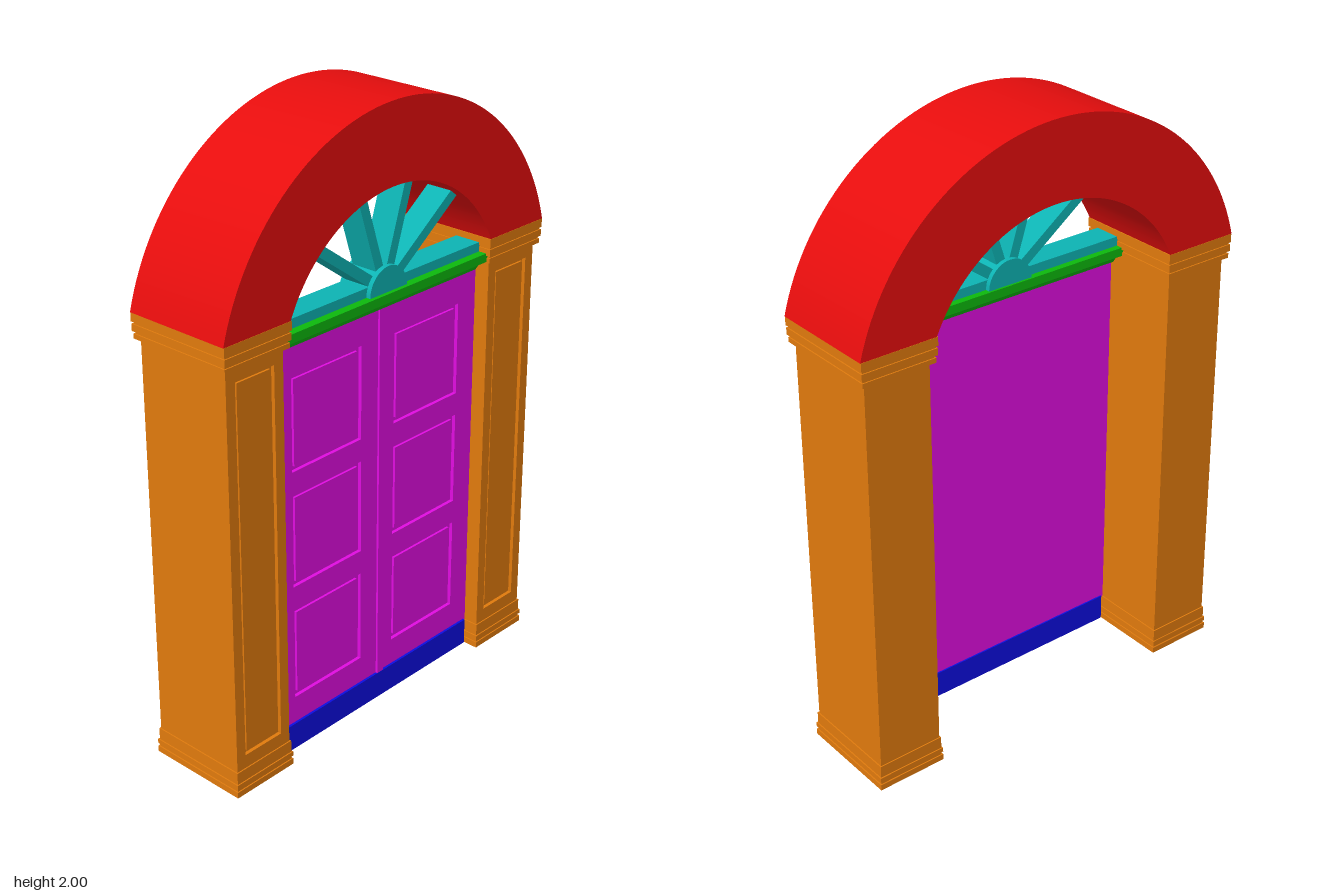
import * as THREE from 'three';
import { toCreasedNormals } from 'three/addons/utils/BufferGeometryUtils.js';

const mat = (color) => new THREE.MeshStandardMaterial({ color });
const RED = mat(0xe60d0d), ORANGE = mat(0xe07a0d), MAGENTA = mat(0xe00de0);
const BLUE = mat(0x0d0de0), GREEN = mat(0x0db80d), TEAL = mat(0x0db3b3);
const DOOR_Z = 0.105;

function add(parent, name, geometry, material) {
  const mesh = new THREE.Mesh(geometry, material);
  mesh.name = name;
  parent.add(mesh);
  return mesh;
}

// Box given by its limits on each axis
function box(parent, name, material, [x0, x1], [y0, y1], [z0, z1]) {
  const mesh = add(parent, name, new THREE.BoxGeometry(x1 - x0, y1 - y0, z1 - z0), material);
  mesh.position.set((x0 + x1) / 2, (y0 + y1) / 2, (z0 + z1) / 2);
  return mesh;
}

function rectPath(path, x0, x1, y0, y1) {
  path.moveTo(x0, y0);
  path.lineTo(x1, y0);
  path.lineTo(x1, y1);
  path.lineTo(x0, y1);
  path.closePath();
  return path;
}

// Flat plate in the xy plane with rectangular openings
function plate(outer, holes, depth) {
  const shape = rectPath(new THREE.Shape(), ...outer);
  for (const h of holes) shape.holes.push(rectPath(new THREE.Path(), ...h));
  return new THREE.ExtrudeGeometry(shape, { depth, bevelEnabled: false });
}

// Arch: two circular arcs cut off level at the springing line
function arch(parent) {
  const spring = 1.47, cOut = 1.286, rOut = 0.714, cIn = 1.272, rIn = 0.478;
  const aOut = Math.asin((spring - cOut) / rOut), aIn = Math.asin((spring - cIn) / rIn);
  const shape = new THREE.Shape();
  shape.absarc(0, cOut, rOut, aOut, Math.PI - aOut, false);
  shape.absarc(0, cIn, rIn, Math.PI - aIn, aIn, true);
  const geo = new THREE.ExtrudeGeometry(shape, { depth: 0.37, bevelEnabled: false, curveSegments: 32 });
  geo.translate(0, 0, -0.185);
  add(parent, 'arch', toCreasedNormals(geo, 0.5), RED);
}

function pillar(parent, side) {
  const g = new THREE.Group();
  g.name = side > 0 ? 'leftPillar' : 'rightPillar';
  g.position.x = side * 0.56;
  parent.add(g);
  const hw = 0.11, hd = 0.168;
  box(g, 'pillarShaft', ORANGE, [-hw, hw], [0.04, 1.46], [-hd, hd - 0.012]);

  // Face frame with a sunk panel and a fine groove around it
  const frame = add(g, 'pillarFaceFrame',
    plate([-hw, hw, 0.04, 1.46], [[-0.075, 0.075, 0.13, 1.35]], 0.012), ORANGE);
  frame.position.z = hd - 0.012;
  box(g, 'pillarPanel', ORANGE, [-0.065, 0.065], [0.14, 1.34], [hd - 0.02, hd - 0.005]);

  // Base mouldings are hollow rings: [bottom, top, projection]
  const base = [[0, 0.02, 0.008], [0.02, 0.03, 0.004], [0.03, 0.045, 0.008], [0.045, 0.085, 0.004]];
  for (const [y0, y1, p] of base) {
    const ox = hw + p, oz = hd + p, w = y0 === 0 ? 0.035 : 0.055;
    const geo = plate([-ox, ox, -oz, oz], [[-ox + w, ox - w, -oz + w, oz - w]], y1 - y0);
    geo.rotateX(-Math.PI / 2);
    add(g, 'baseMoulding', geo, ORANGE).position.y = y0;
  }

  // Capital mouldings step outwards to meet the arch
  const capital = [[1.39, 1.405, 0.014], [1.405, 1.413, 0.01], [1.413, 1.435, 0.017],
    [1.435, 1.442, 0.013], [1.442, 1.47, 0.018]];
  for (const [y0, y1, p] of capital) {
    box(g, 'capitalMoulding', ORANGE, [-hw - p, hw + p], [y0, y1], [-hd - p, hd + p]);
  }
}

function doorLeaf(parent, side) {
  const g = new THREE.Group();
  g.name = side > 0 ? 'leftDoor' : 'rightDoor';
  parent.add(g);
  const span = (a, b) => (side > 0 ? [a, b] : [-b, -a]);
  const [x0, x1] = span(0, 0.45);
  const [p0, p1] = span(0.073, 0.37);
  const rows = [[0.18, 0.49], [0.57, 0.88], [0.955, 1.26]];
  box(g, 'doorBacking', MAGENTA, [x0, x1], [0.08, 1.36], [DOOR_Z - 0.01, DOOR_Z]);
  const frame = add(g, 'doorFrame',
    plate([x0, x1, 0.08, 1.36], rows.map(([a, b]) => [p0, p1, a, b]), 0.012), MAGENTA);
  frame.position.z = DOOR_Z;
  // Raised fields leave a narrow groove inside each opening
  for (const [a, b] of rows) {
    box(g, 'doorPanel', MAGENTA, [p0 + 0.014, p1 - 0.014], [a + 0.014, b - 0.014],
      [DOOR_Z - 0.005, DOOR_Z + 0.008]);
  }
}

// Lintel: moulded section swept across the opening
function lintel(parent) {
  const half = [[0.025, 1.355], [0.035, 1.37], [0.055, 1.385], [0.07, 1.392], [0.07, 1.42]];
  const shape = new THREE.Shape();
  half.forEach(([z, y], i) => (i ? shape.lineTo(z, y) : shape.moveTo(z, y)));
  [...half].reverse().forEach(([z, y]) => shape.lineTo(-z, y));
  const geo = new THREE.ExtrudeGeometry(shape, { depth: 0.88, bevelEnabled: false });
  geo.translate(0, 0, -0.44);
  geo.rotateY(Math.PI / 2);
  add(parent, 'lintel', geo, GREEN).position.z = DOOR_Z - 0.005;
}

// Fanlight: half-round hub with radiating bars
function fanlight(parent) {
  const g = new THREE.Group();
  g.name = 'fanlight';
  g.position.set(0, 1.42, DOOR_Z - 0.008);
  parent.add(g);
  const hub = new THREE.Shape();
  hub.absarc(0, 0, 0.08, 0, Math.PI, false);
  const hubGeo = new THREE.ExtrudeGeometry(hub, { depth: 0.12, bevelEnabled: false, curveSegments: 16 });
  hubGeo.translate(0, 0, -0.06);
  add(g, 'fanHub', toCreasedNormals(hubGeo, 0.6), TEAL);
  box(g, 'fanSill', TEAL, [-0.435, 0.435], [0, 0.03], [-0.045, 0.045]);
  for (const [deg, length] of [[36, 0.385], [72, 0.345], [108, 0.345], [144, 0.385]]) {
    const geo = new THREE.BoxGeometry(length - 0.06, 0.033, 0.09);
    geo.translate((length + 0.06) / 2, 0, 0);
    add(g, 'fanSpoke', geo, TEAL).rotation.z = THREE.MathUtils.degToRad(deg);
  }
}

export function createModel() {
  const model = new THREE.Group();
  model.name = 'archedDoorway';
  arch(model);
  for (const side of [1, -1]) {
    pillar(model, side);
    doorLeaf(model, side);
  }
  // Cover strip over the meeting edges
  box(model, 'meetingStrip', MAGENTA, [0, 0.027], [0.085, 1.358], [DOOR_Z, DOOR_Z + 0.019]);
  box(model, 'threshold', BLUE, [-0.44, 0.44], [0, 0.09], [DOOR_Z - 0.015, DOOR_Z + 0.02]);
  lintel(model);
  fanlight(model);
  return model;
}
